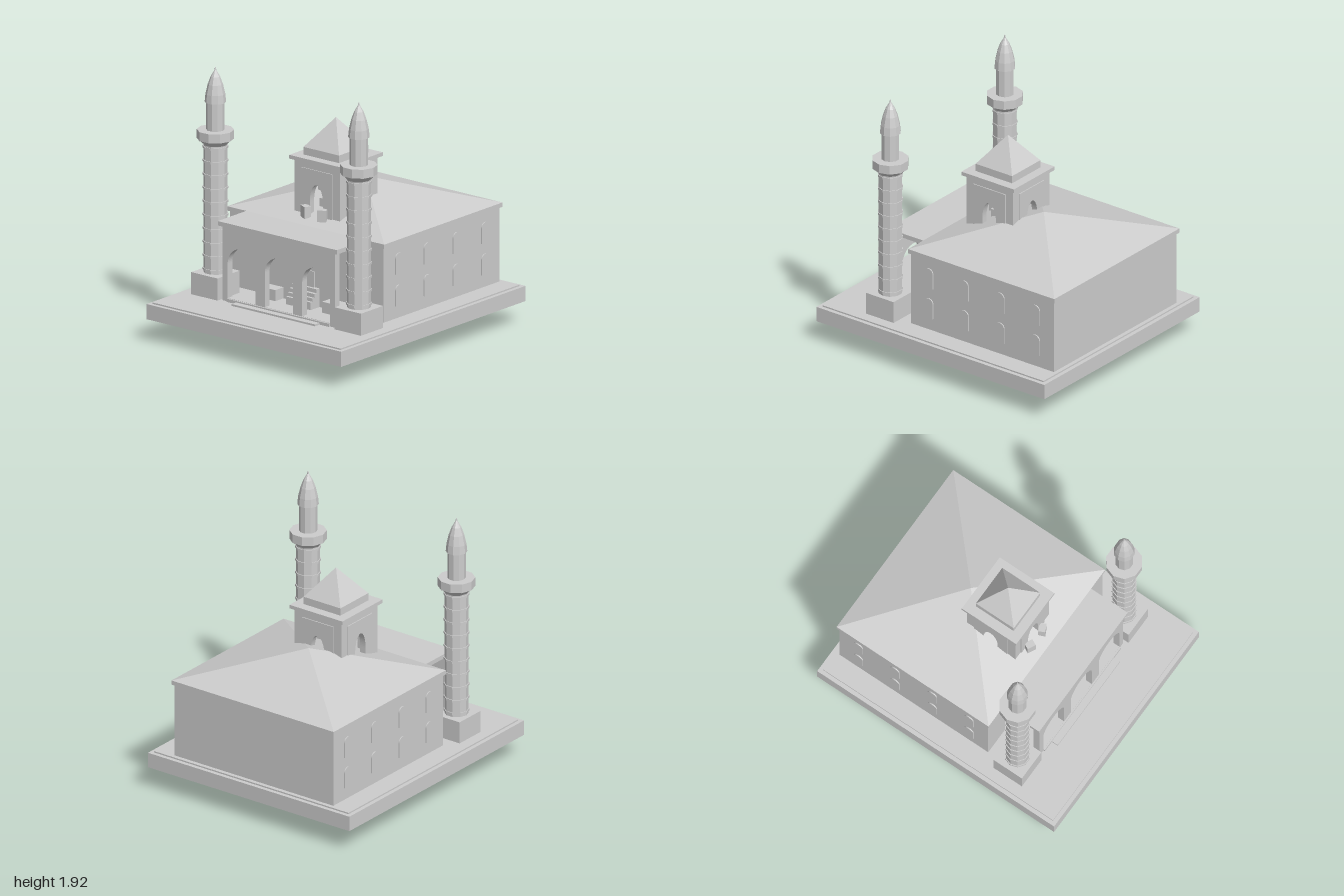
import * as THREE from 'three';

const stone = new THREE.MeshStandardMaterial({ color: 0xcccccc, flatShading: true });
stone.name = 'stone';

function add(parent, name, geometry, x = 0, y = 0, z = 0) {
  const mesh = new THREE.Mesh(geometry, stone);
  mesh.name = name;
  mesh.position.set(x, y, z);
  parent.add(mesh);
  return mesh;
}

// Box given by its limits on each axis
function box(parent, name, x0, x1, y0, y1, z0, z1) {
  return add(parent, name, new THREE.BoxGeometry(x1 - x0, y1 - y0, z1 - z0),
    (x0 + x1) / 2, (y0 + y1) / 2, (z0 + z1) / 2);
}

// Four-sided pyramid roof
function pyramid(parent, name, w, d, y0, y1, z = 0) {
  const g = new THREE.ConeGeometry(Math.SQRT1_2, 1, 4).rotateY(Math.PI / 4).scale(w, y1 - y0, d);
  return add(parent, name, g, 0, (y0 + y1) / 2, z);
}

// Arch outline: upright sides topped by a half ellipse
function arch(path, cx, half, y0, spring, rise) {
  path.moveTo(cx - half, y0);
  path.lineTo(cx + half, y0);
  path.lineTo(cx + half, spring);
  path.absellipse(cx, spring, half, rise, 0, Math.PI, false, 0);
  path.lineTo(cx - half, y0);
  return path;
}

// Wall panel pierced by arches
function archedWall(half, y0, y1, depth, arches) {
  const s = new THREE.Shape([[-half, y0], [half, y0], [half, y1], [-half, y1]]
    .map(p => new THREE.Vector2(...p)));
  for (const a of arches) s.holes.push(arch(new THREE.Path(), ...a));
  return new THREE.ExtrudeGeometry(s, { depth, bevelEnabled: false, curveSegments: 16 });
}

// Ten-sided turned part with corners on the x axis
function turned(parent, name, points) {
  const g = new THREE.LatheGeometry(points.map(p => new THREE.Vector2(...p)), 10);
  return add(parent, name, g.rotateY(Math.PI / 2));
}

function buildMinaret(x) {
  const m = new THREE.Group();
  m.name = 'minaret';
  m.position.set(x, 0, 0.53);
  box(m, 'minaretPedestal', -0.118, 0.118, 0.28, 0.44, -0.12, 0.12);
  turned(m, 'minaretShaft', [[0.084, 0.44], [0.084, 1.37]]);
  for (let i = 0; i < 10; i++) {
    const y = 0.465 + i * 0.098;
    turned(m, 'shaftBand', [[0.08, y - 0.008], [0.09, y - 0.008], [0.09, y + 0.008], [0.08, y + 0.008]]);
  }
  turned(m, 'minaretBalcony', [[0.08, 1.36], [0.088, 1.37], [0.118, 1.4], [0.13, 1.405], [0.13, 1.47], [0, 1.47]]);
  turned(m, 'upperShaft', [[0.064, 1.46], [0.064, 1.68]]);
  turned(m, 'spire', [[0, 1.665], [0.075, 1.67], [0.069, 1.73], [0.053, 1.8], [0.033, 1.855], [0.007, 1.9], [0.003, 1.92], [0, 1.92]]);
  return m;
}

function buildTower() {
  const t = new THREE.Group();
  t.name = 'roofTower';
  const opening = [0, 0.06, 0.88, 0.98, 0.135];
  for (let i = 0; i < 4; i++) {
    const side = new THREE.Group();
    side.name = 'towerSide';
    side.rotation.y = i * Math.PI / 2;
    add(side, 'towerWall', archedWall(0.205, 0.86, 1.27, 0.04, [opening]), 0, 0, 0.165);
    add(side, 'towerPanel', archedWall(0.14, 0.87, 1.22, 0.007, [opening]), 0, 0, 0.205);
    t.add(side);
  }
  box(t, 'towerCornice', -0.23, 0.23, 1.268, 1.295, -0.23, 0.23);
  box(t, 'towerAttic', -0.16, 0.16, 1.295, 1.35, -0.16, 0.16);
  pyramid(t, 'towerRoof', 0.32, 0.32, 1.35, 1.56);
  // Splayed blocks before the front opening, small ones within
  for (const s of [-1, 1]) {
    const b = box(t, 'splayedBlock', s * 0.075 - 0.032, s * 0.075 + 0.032, 0.875, 0.96, 0.213, 0.263);
    b.rotation.y = s * 0.45;
    box(t, 'innerBlock', s * 0.048 - 0.017, s * 0.048 + 0.017, 0.92, 0.985, 0.035, 0.1);
  }
  return t;
}

function buildHall() {
  const h = new THREE.Group();
  h.name = 'hall';
  box(h, 'hallWalls', -0.69, 0.69, 0.28, 0.825, -0.94, 0.315);
  box(h, 'hallCornice', -0.705, 0.705, 0.82, 0.852, -0.955, 0.328);
  pyramid(h, 'hallRoof', 1.41, 1.283, 0.852, 1.06, -0.3135);
  // Two rows of arched windows on each long side
  const g = new THREE.ExtrudeGeometry(arch(new THREE.Shape(), 0, 0.038, -0.075, 0.037, 0.038),
    { depth: 0.008, bevelEnabled: false, curveSegments: 8 });
  for (const s of [-1, 1])
    for (const y of [0.445, 0.675])
      for (const z of [-0.78, -0.47, -0.155, 0.155])
        add(h, 'window', g, s * 0.69, y, z).rotation.y = s * Math.PI / 2;
  return h;
}

function buildPorch() {
  const p = new THREE.Group();
  p.name = 'porch';
  const arches = [-0.335, 0, 0.335].map(x => [x, 0.125, 0.305, 0.555, 0.125]);
  add(p, 'arcade', archedWall(0.505, 0.28, 0.825, 0.05, arches), 0, 0, 0.57);
  box(p, 'porchRoof', -0.535, 0.535, 0.82, 0.852, 0.31, 0.637);
  box(p, 'porchFloor', -0.46, 0.46, 0.28, 0.303, 0.58, 0.632);
  box(p, 'frontStep', -0.375, 0.375, 0.28, 0.293, 0.62, 0.682);
  // Benches, stair and doorway against the hall
  for (const s of [-1, 1])
    box(p, 'bench', s * 0.3 - 0.09, s * 0.3 + 0.09, 0.28, 0.36, 0.31, 0.405);
  [[0.335, 0.41], [0.36, 0.39], [0.387, 0.37], [0.415, 0.345]].forEach(([y, z]) =>
    box(p, 'stair', -0.112, 0.112, 0.28, y, 0.31, z));
  box(p, 'doorway', -0.07, 0.07, 0.41, 0.53, 0.31, 0.325);
  return p;
}

export function createModel() {
  const model = new THREE.Group();
  model.name = 'mosque';
  // Ten-sided foot under the platform
  const foot = new THREE.CylinderGeometry(0.238, 0.25, 0.162, 10).rotateY(Math.PI / 2);
  add(model, 'foot', foot, 0, 0.081, 0.065);
  box(model, 'platform', -0.875, 0.875, 0.16, 0.27, -1, 1);
  box(model, 'paving', -0.845, 0.845, 0.268, 0.28, -0.97, 0.97);
  model.add(buildHall(), buildPorch(), buildTower(), buildMinaret(-0.645), buildMinaret(0.645));
  return model;
}
